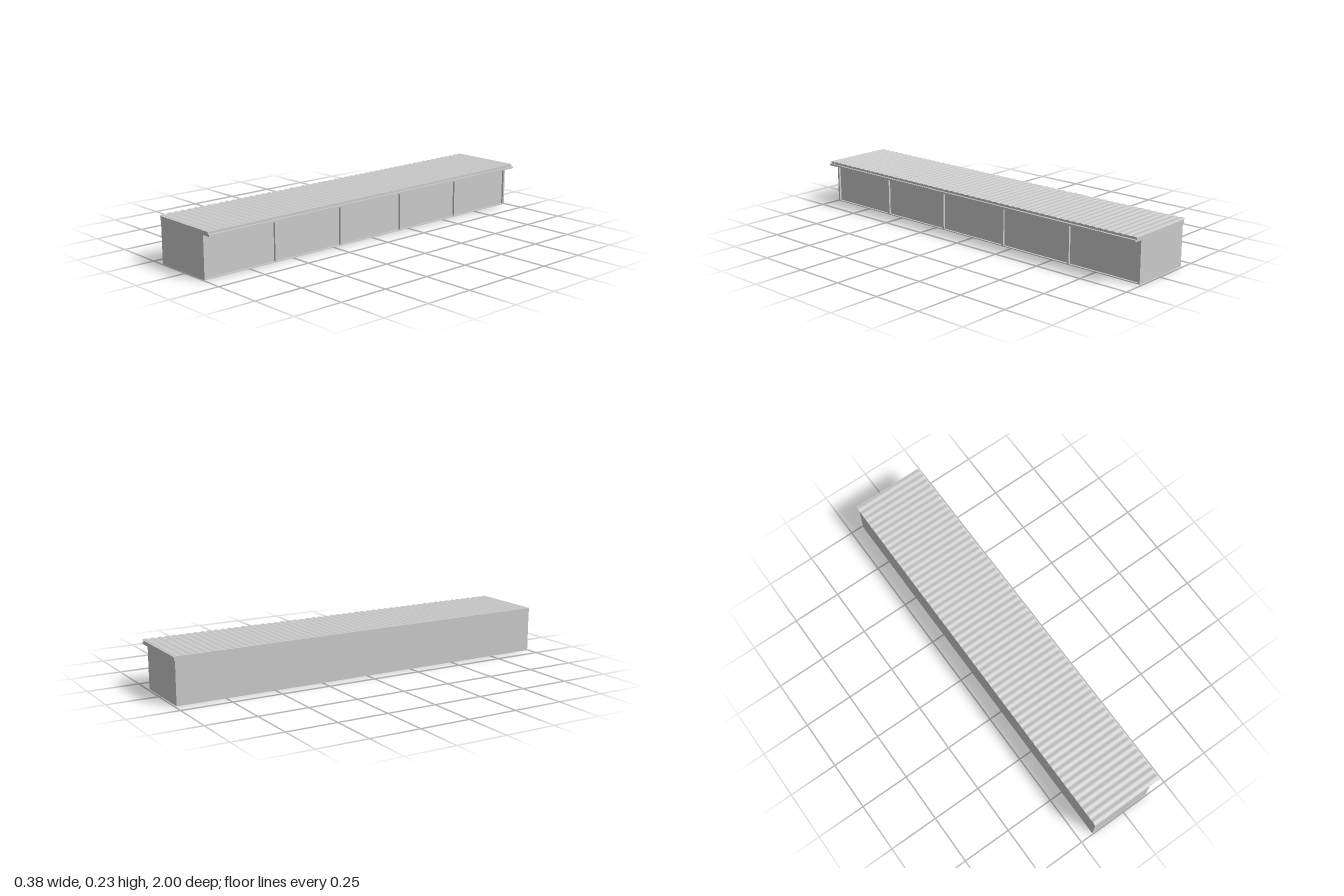
import * as THREE from 'three';

const grey = new THREE.MeshStandardMaterial({ color: 0xcccccc });
const sheetMat = new THREE.MeshStandardMaterial({ color: 0xcccccc, side: THREE.DoubleSide, flatShading: true });

// Box given by its min and max corners
function block(name, [x0, y0, z0], [x1, y1, z1]) {
  const mesh = new THREE.Mesh(new THREE.BoxGeometry(x1 - x0, y1 - y0, z1 - z0), grey);
  mesh.position.set((x0 + x1) / 2, (y0 + y1) / 2, (z0 + z1) / 2);
  mesh.name = name;
  return mesh;
}

export function createModel() {
  const model = new THREE.Group();
  model.name = 'longShed';
  const back = -0.183, face = 0.14, recess = 0.13, top = 0.206;
  const zMin = -0.99, zMax = 0.995, bays = 5, post = 0.01, sill = 0.004;
  const bayLength = (zMax - zMin) / bays;

  // Row of closed bays, set slightly behind the frame
  for (let i = 0; i < bays; i++) {
    const z = zMin + i * bayLength;
    model.add(block('bay', [back, 0, z], [recess, top, z + bayLength]));
  }

  // Frame: posts between bays, sill along the bottom
  for (let i = 0; i <= bays; i++) {
    const z = THREE.MathUtils.clamp(zMin + i * bayLength - post / 2, zMin, zMax - post);
    model.add(block('post', [recess, 0, z], [face, top, z + post]));
  }
  model.add(block('sill', [recess, 0, zMin], [face, sill, zMax]));

  // Soffit and stepped roof slabs, overhanging the bay fronts
  model.add(block('soffit', [recess, 0.204, zMin], [0.167, 0.207, zMax]));
  model.add(block('lowerRoofSlab', [back, 0.206, -0.995], [0.19, 0.215, 0.998]));
  model.add(block('upperRoofSlab', [back, 0.215, -0.995], [0.18, 0.2265, 0.998]));

  // Corrugated roof sheets with ridges running across, overlapping at the seams
  const sheets = 14, waves = 4, steps = 6;
  const sheetLength = 2 / sheets, wave = sheetLength / waves;
  const lap = wave / 2;
  for (let s = 0; s < sheets; s++) {
    const z0 = -1 + s * sheetLength;
    const length = s < sheets - 1 ? sheetLength + lap : sheetLength;
    const geo = new THREE.PlaneGeometry(0.377, length, 1, Math.round((length / wave) * steps));
    geo.rotateX(-Math.PI / 2);
    geo.translate(-0.0015, 0, z0 + length / 2);
    const pos = geo.attributes.position;
    for (let i = 0; i < pos.count; i++) {
      const along = pos.getZ(i) - z0;
      const lift = 0.0006 * (1 - along / length);
      pos.setY(i, 0.2288 + lift - 0.002 * Math.cos((along / wave) * Math.PI * 2));
    }
    geo.computeVertexNormals();
    const sheet = new THREE.Mesh(geo, sheetMat);
    sheet.name = 'roofSheet';
    model.add(sheet);
  }
  return model;
}
